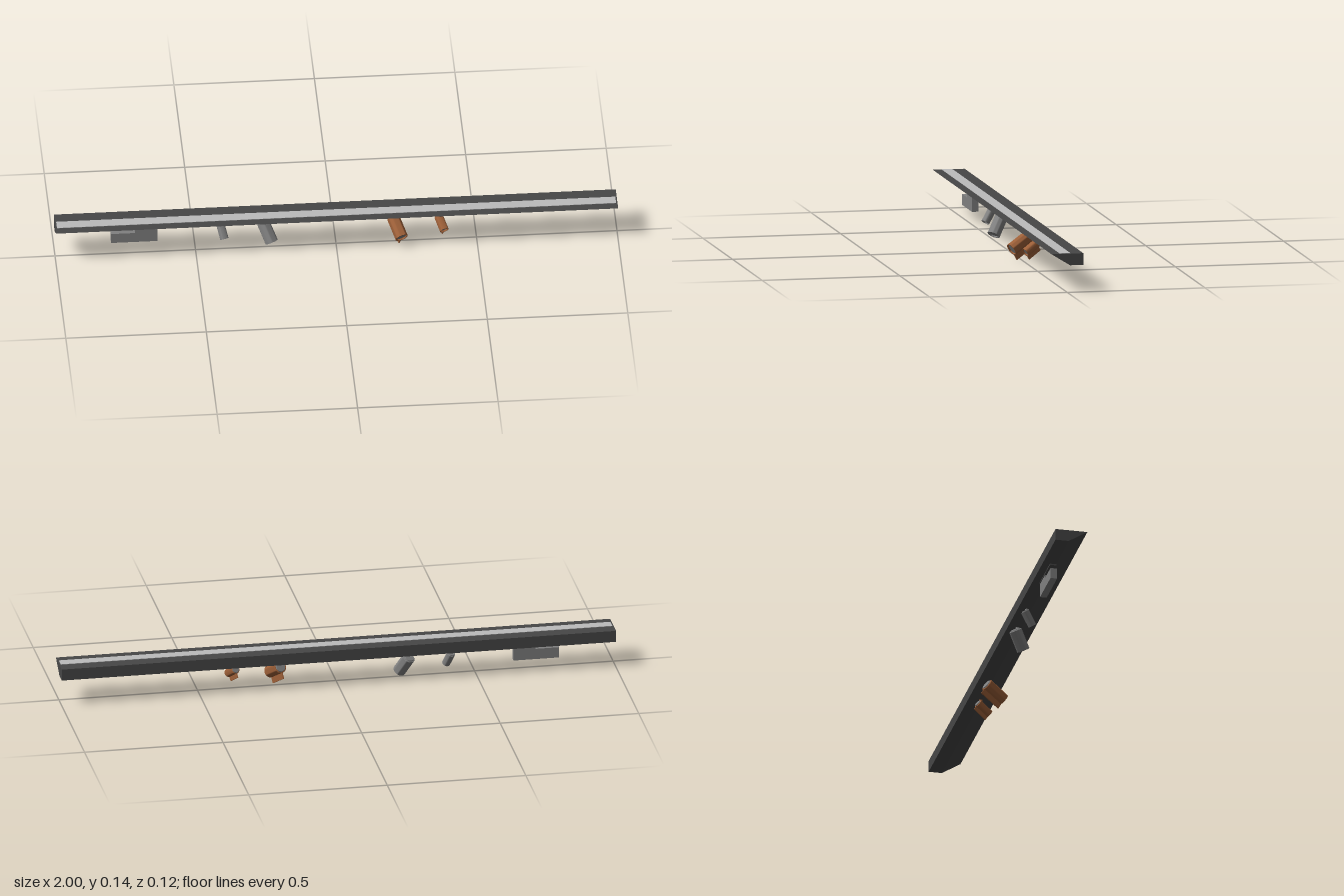
import * as THREE from 'three';
import { toCreasedNormals } from 'three/addons/utils/BufferGeometryUtils.js';

const material = (name, color) => {
  const m = new THREE.MeshStandardMaterial({ color });
  m.name = name;
  return m;
};

export function createModel() {
  const darkMetal = material('darkMetal', 0x474747);
  const copper = material('copper', 0x9c5f38);
  const grey = material('grey', 0x808080);
  const lightGrey = material('lightGrey', 0xbcbcbc);
  const model = new THREE.Group();
  model.name = 'trackLight';

  const add = (parent, name, geometry, mat, x = 0, y = 0, z = 0) => {
    const mesh = new THREE.Mesh(geometry, mat);
    mesh.name = name;
    mesh.position.set(x, y, z);
    parent.add(mesh);
    return mesh;
  };
  const box = (parent, name, mat, x0, x1, y0, y1, z0, z1) =>
    add(parent, name, new THREE.BoxGeometry(x1 - x0, y1 - y0, z1 - z0), mat,
      (x0 + x1) / 2, (y0 + y1) / 2, (z0 + z1) / 2);

  // Wedge-section rail, extruded along x (shape x becomes -z)
  const section = new THREE.Shape([
    [-0.058, 0.144], [0.01, 0.102], [0.058, 0.102], [0.058, 0.144],
  ].map(([a, b]) => new THREE.Vector2(a, b)));
  const railGeometry = new THREE.ExtrudeGeometry(section, { depth: 2, bevelEnabled: false });
  railGeometry.translate(0, 0, -1).rotateY(Math.PI / 2);
  add(model, 'rail', railGeometry, darkMetal);
  box(model, 'topStrip', lightGrey, -0.995, 0.995, 0.143, 0.1455, -0.012, 0.026);

  // Power adapter hanging under the rail, with a slot at one side
  const adapter = new THREE.Group();
  adapter.name = 'powerAdapter';
  model.add(adapter);
  box(adapter, 'adapterBody', grey, -0.80, -0.635, 0.046, 0.085, -0.03, -0.006);
  box(adapter, 'adapterNeck', grey, -0.715, -0.635, 0.085, 0.1, -0.03, -0.006);
  box(adapter, 'adapterPlate', darkMetal, -0.80, -0.635, 0.097, 0.103, -0.032, -0.008);

  // Spotlight: its own +y points from the back cap to the lens, its +z leans down
  function spotlight(name, back, front, r, mat, finned) {
    const start = new THREE.Vector3(...back);
    const axis = new THREE.Vector3(...front).sub(start);
    const length = axis.length();
    axis.normalize();
    const down = new THREE.Vector3(0, -1, 0);
    down.addScaledVector(axis, -down.dot(axis)).normalize();
    const side = new THREE.Vector3().crossVectors(axis, down);

    const lamp = new THREE.Group();
    lamp.name = name;
    lamp.position.copy(start);
    lamp.quaternion.setFromRotationMatrix(new THREE.Matrix4().makeBasis(side, axis, down));
    model.add(lamp);

    // Housing with a recessed mouth
    const profile = [
      [0, 0], [r * 0.92, 0], [r, r * 0.08], [r, length], [r * 0.85, length],
      [r * 0.85, length - 0.008], [0, length - 0.008],
    ].map(([x, y]) => new THREE.Vector2(x, y));
    add(lamp, 'housing', toCreasedNormals(new THREE.LatheGeometry(profile, 32), 0.6), mat);
    add(lamp, 'lens', new THREE.CylinderGeometry(r * 0.84, r * 0.84, 0.003, 32), grey, 0, length - 0.007, 0);
    add(lamp, 'backCap', new THREE.CylinderGeometry(r * 0.85, r * 0.75, 0.004, 32), grey, 0, -0.001, 0);

    // Cooling fin along the underside
    if (finned) {
      add(lamp, 'fin', new THREE.BoxGeometry(r * 0.2, length, r * 1.05), mat, 0, length / 2, r * 1.4);
    }
    // Short stem up to the rail
    const stemY = start.y + axis.y * length * 0.25;
    add(model, name + 'Stem', new THREE.CylinderGeometry(0.006, 0.006, 0.108 - stemY, 16), mat,
      start.x + axis.x * length * 0.25, (0.108 + stemY) / 2, start.z + axis.z * length * 0.25);
  }

  spotlight('smallGreySpotlight', [-0.41, 0.092, -0.033], [-0.397, 0.044, -0.003], 0.015, grey, false);
  spotlight('largeGreySpotlight', [-0.257, 0.088, -0.033], [-0.229, 0.025, 0.003], 0.023, grey, false);
  spotlight('largeCopperSpotlight', [0.206, 0.085, -0.03], [0.231, 0.043, 0.037], 0.023, copper, true);
  spotlight('smallCopperSpotlight', [0.367, 0.085, -0.025], [0.384, 0.055, 0.02], 0.016, copper, true);

  return model;
}
